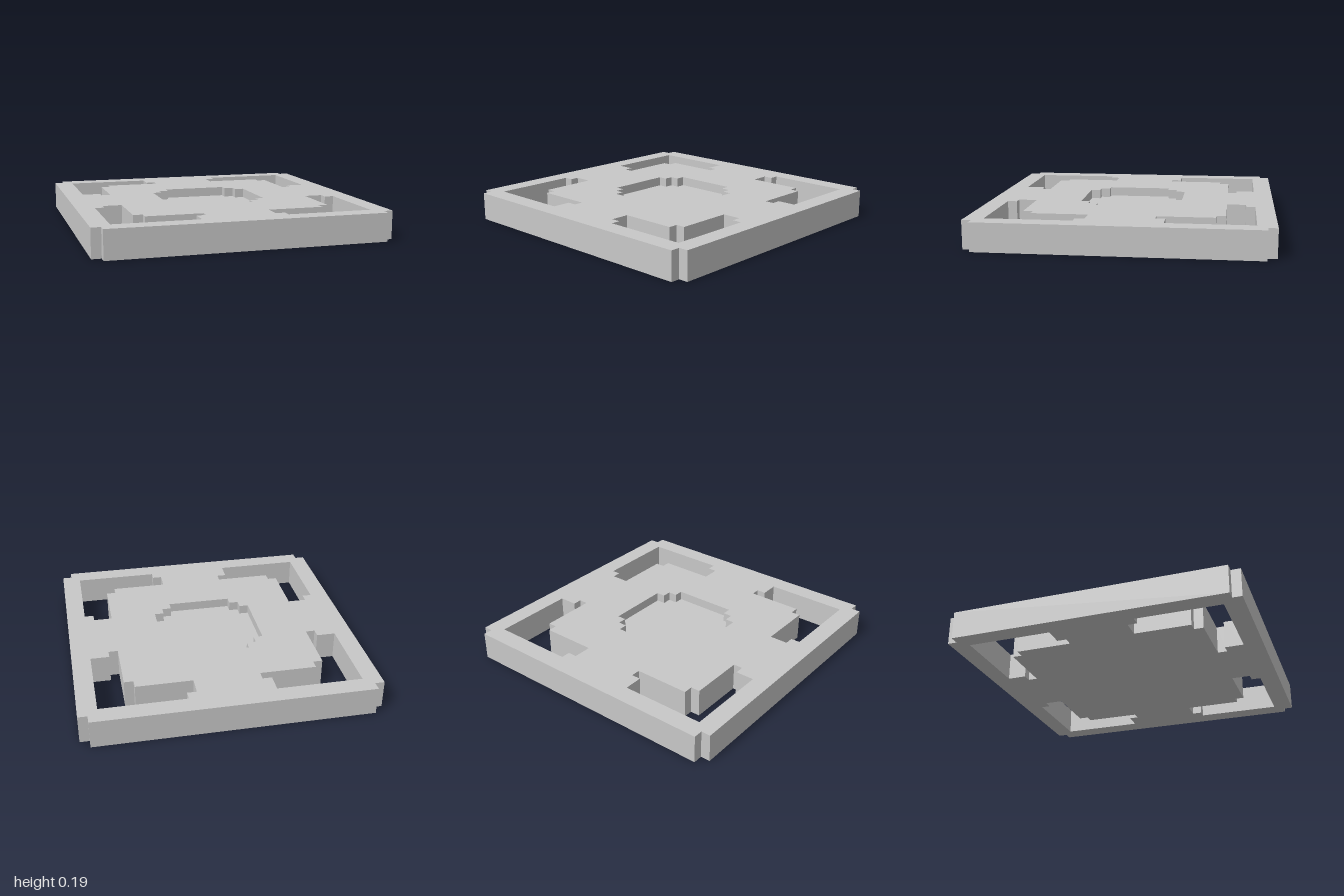
import * as THREE from 'three';

// The whole tile sits on a 31 x 31 cell grid and is three cells thick.
const U = 2 / 31;

// Grid points (x, z) as vectors in the extrusion plane, where y = -z
const toPoints = (cells) => cells.map(([x, z]) => new THREE.Vector2(x * U, -z * U));

// Closed anticlockwise outline with four-way symmetry from the points of one quadrant
function fourWay(quadrant) {
  const back = [...quadrant].reverse();
  return toPoints([
    ...quadrant,
    ...back.map(([x, z]) => [x, -z]),
    ...quadrant.map(([x, z]) => [-x, -z]),
    ...back.map(([x, z]) => [-x, z]),
  ]);
}

// L-shaped corner opening; tipX and tipZ are the widths in cells of its two end tabs
function cornerOpening(sx, sz, tipX, tipZ) {
  return toPoints([
    [13.5, 13.5], [4.5, 13.5],
    [4.5, 10.5 + tipX], [3.5, 10.5 + tipX], [3.5, 10.5],
    [9.5, 10.5], [9.5, 9.5], [10.5, 9.5],
    [10.5, 3.5], [10.5 + tipZ, 3.5], [10.5 + tipZ, 4.5],
    [13.5, 4.5],
  ].map(([x, z]) => [x * sx, z * sz]));
}

// Flat slab standing on y = 0
function slab(shape, cellsHigh) {
  const geometry = new THREE.ExtrudeGeometry(shape, { depth: cellsHigh * U, bevelEnabled: false });
  return geometry.rotateX(-Math.PI / 2);
}

export function createModel() {
  const grey = new THREE.MeshStandardMaterial({ color: 0xc8c8c8 });
  grey.name = 'grey';
  const model = new THREE.Group();
  model.name = 'squareTile';
  const add = (name, geometry) => {
    const mesh = new THREE.Mesh(geometry, grey);
    mesh.name = name;
    model.add(mesh);
  };

  // Plate with notched corners, four openings and a stepped round well
  const well = fourWay([[3.5, 5.5], [3.5, 4.5], [4.5, 4.5], [4.5, 3.5], [5.5, 3.5]]);
  const plate = new THREE.Shape(fourWay([[14.5, 15.5], [14.5, 14.5], [15.5, 14.5]]));
  const openings = [[-1, -1, 1, 1], [1, -1, 2, 1], [-1, 1, 1, 2], [1, 1, 2, 2]];
  for (const o of openings) plate.holes.push(new THREE.Path(cornerOpening(...o)));
  plate.holes.push(new THREE.Path(well));
  add('plate', slab(plate, 3));

  // Floor of the well, one cell below the top
  add('wellFloor', slab(new THREE.Shape(well), 2));

  return model;
}
